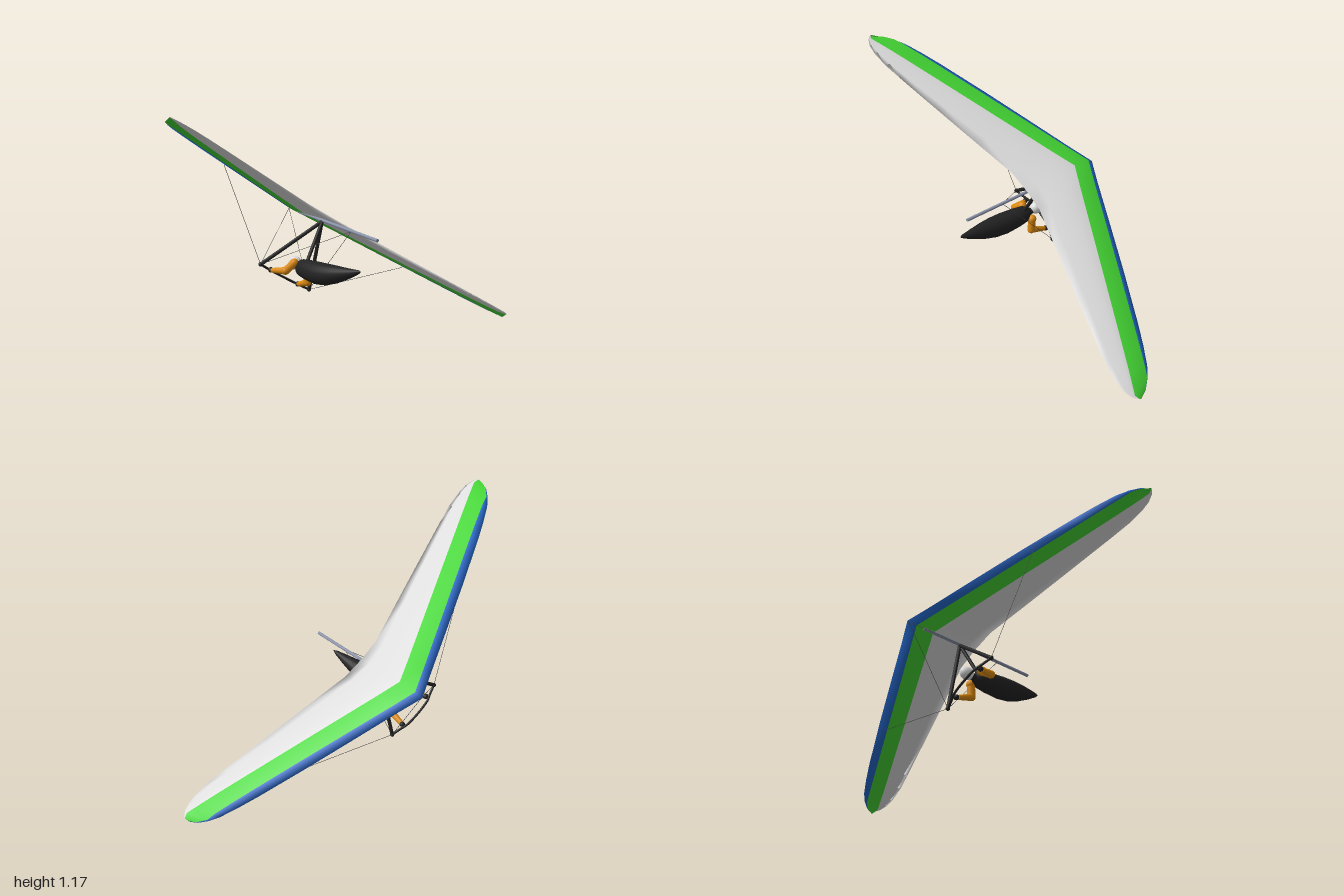
import * as THREE from 'three';

const material = (name, color, side = THREE.FrontSide) => {
  const m = new THREE.MeshStandardMaterial({ color, side });
  m.name = name;
  return m;
};
const V = (x, y, z) => new THREE.Vector3(x, y, z);

// Skin over a grid of points: rows of equal length, each row a closed ring
function skin(rows) {
  const k = rows[0].length;
  const geo = new THREE.BufferGeometry().setFromPoints(rows.flat());
  const strip = (j) => {
    const out = [];
    for (let i = 0; i < rows.length - 1; i++) {
      const a = i * k + j, b = i * k + (j + 1) % k, c = a + k, d = b + k;
      out.push(a, c, b, b, c, d);
    }
    return out;
  };
  return { geo, k, strip };
}

// Sail: closed aerofoil sections along the span, coloured by chord band
function sailGeometry() {
  // span position, leading edge x, trailing edge x
  const half = [
    [0, -0.4, 0.04], [0.12, -0.345, 0.046], [0.35, -0.245, 0.11], [0.6, -0.135, 0.178],
    [0.85, -0.02, 0.245], [0.95, 0.03, 0.27], [1.04, 0.08, 0.281], [1.09, 0.12, 0.278],
    [1.13, 0.165, 0.262], [1.155, 0.215, 0.235],
  ];
  const table = [...half.slice(1).reverse().map(([s, a, b]) => [-s, a, b]), ...half];

  const rows = table.map(([s, le, te]) => {
    const chord = te - le, span = Math.abs(s);
    const stations = (blueEnd, greenEnd) => {
      const b = Math.min(Math.max(blueEnd, le + 0.03 * chord), te - 0.2 * chord);
      const g = Math.min(Math.max(greenEnd, b + 0.03 * chord), te - 0.1 * chord);
      return [le, b, g, ...[0.25, 0.5, 0.78].map((f) => g + (te - g) * f), te];
    };
    const point = (x, thick) => {
      const u = Math.min(1, Math.max(0, (x - le) / chord));
      const base = 0.005 + 0.013 * u + 0.008 * span * u;
      return V(x, base + thick * chord * 2.6 * Math.sqrt(u) * (1 - u), s);
    };
    const top = stations(-0.365 + 0.45 * span, -0.265 + 0.45 * span).map((x) => point(x, 0.09));
    const under = stations(-0.345 + 0.44 * span, -0.24 + 0.425 * span).map((x) => point(x, -0.02));
    return [...top, ...under.slice(1, -1).reverse()];
  });

  const { geo, k, strip } = skin(rows);
  const index = [];
  // 0 blue, 1 green, 2 white, mirrored for the underside
  [[0, k - 1], [1, k - 2], [...Array(k - 4).keys()].map((j) => j + 2)].forEach((columns, m) => {
    const part = columns.flatMap(strip);
    geo.addGroup(index.length, part.length, m);
    index.push(...part);
  });
  geo.setIndex(index);
  geo.computeVertexNormals();
  return geo;
}

// Harness: round sections along x, tapering to the feet
function harnessGeometry() {
  // x, height, radius
  const profile = [
    [-0.095, -0.252, 0.002], [-0.088, -0.252, 0.025], [-0.06, -0.253, 0.043], [0, -0.255, 0.051],
    [0.08, -0.256, 0.056], [0.15, -0.25, 0.053], [0.22, -0.237, 0.043], [0.3, -0.217, 0.026],
    [0.36, -0.198, 0.011], [0.38, -0.192, 0.002],
  ];
  const sides = 20;
  const rows = profile.map(([x, y, r]) => Array.from({ length: sides }, (_, j) => {
    const a = (j / sides) * Math.PI * 2;
    return V(x, y + r * Math.cos(a), r * Math.sin(a));
  }));
  const { geo, strip } = skin(rows);
  // ring order runs from +y to +z, so the strips are reversed to face outward
  geo.setIndex([...Array(sides).keys()].flatMap(strip).reverse());
  geo.computeVertexNormals();
  // make sure the skin faces outward
  const p = geo.attributes.position, n = geo.attributes.normal, mid = 4 * sides;
  if ((p.getY(mid) + 0.256) * n.getY(mid) < 0) {
    geo.setIndex(Array.from(geo.index.array).reverse());
    geo.computeVertexNormals();
  }
  return geo;
}

export function createModel() {
  const blue = material('sailBlue', 0x2468cc);
  const green = material('sailGreen', 0x44d634);
  const white = material('sailWhite', 0xdcdcdc);
  const black = material('harnessBlack', 0x222222);
  const orange = material('sleeveOrange', 0xdc8a10);
  const metal = material('keelMetal', 0x8c94aa);
  const wireGrey = material('wireGrey', 0x484848);

  const model = new THREE.Group();
  model.name = 'hangGlider';
  const banked = new THREE.Group();
  banked.name = 'bankedGlider';
  banked.position.y = 0.5775;
  banked.rotation.x = -Math.PI / 6;
  model.add(banked);

  const add = (parent, name, geo, mat) => {
    const mesh = new THREE.Mesh(geo, mat);
    mesh.name = name;
    parent.add(mesh);
    return mesh;
  };
  // Straight round bar between two points
  const bar = (parent, name, a, b, r, mat, sides = 10) => {
    const mesh = add(parent, name, new THREE.CylinderGeometry(r, r, a.distanceTo(b), sides), mat);
    mesh.position.copy(a).lerp(b, 0.5);
    mesh.quaternion.setFromUnitVectors(V(0, 1, 0), b.clone().sub(a).normalize());
    return mesh;
  };
  const ball = (parent, name, p, r, mat) => {
    const mesh = add(parent, name, new THREE.SphereGeometry(r, 18, 12), mat);
    mesh.position.copy(p);
    return mesh;
  };

  // Wing and keel, nose slightly up
  const wing = new THREE.Group();
  wing.name = 'wing';
  wing.rotation.z = -0.069;
  banked.add(wing);
  add(wing, 'sail', sailGeometry(), [blue, green, white]);
  bar(wing, 'keel', V(-0.3, 0.003, 0), V(0.4, 0, 0), 0.008, metal, 12);

  // Control frame
  const frame = new THREE.Group();
  frame.name = 'controlFrame';
  banked.add(frame);
  const apex = V(-0.07, 0, 0);
  const corner = (side) => V(-0.162, -0.325, side * 0.168);
  const barPath = [
    corner(-1), V(-0.178, -0.325, -0.12), V(-0.194, -0.325, -0.075),
    V(-0.194, -0.325, 0.075), V(-0.178, -0.325, 0.12), corner(1),
  ];
  add(frame, 'baseBar',
    new THREE.TubeGeometry(new THREE.CatmullRomCurve3(barPath), 40, 0.006, 8), black);

  const pilot = new THREE.Group();
  pilot.name = 'pilot';
  banked.add(pilot);

  for (const side of [-1, 1]) {
    const c = corner(side);
    bar(frame, 'upright', apex, c, 0.0095, black);
    ball(frame, 'cornerFitting', c, 0.011, black);

    // Rigging wires
    for (const end of [V(-0.392, 0.03, 0), V(-0.1, 0.006, side * 0.63), V(0.185, -0.014, 0)]) {
      bar(frame, 'wire', c, end, 0.0012, wireGrey, 5);
    }

    // Arms reaching to the base bar
    const shoulder = V(-0.078, -0.25, side * 0.045);
    const elbow = V(-0.074, -0.305, side * 0.076);
    const hand = V(-0.16, -0.325, side * 0.092);
    bar(pilot, 'upperArm', shoulder, elbow, 0.02, orange, 14);
    ball(pilot, 'shoulder', shoulder, 0.023, orange);
    ball(pilot, 'elbow', elbow, 0.02, orange);
    const fore = add(pilot, 'forearm',
      new THREE.CylinderGeometry(0.012, 0.019, elbow.distanceTo(hand), 14), orange);
    fore.position.copy(elbow).lerp(hand, 0.5);
    fore.quaternion.setFromUnitVectors(V(0, 1, 0), hand.clone().sub(elbow).normalize());
    ball(pilot, 'hand', V(-0.168, -0.325, side * 0.094), 0.014, black);
  }

  // Pilot body, head and hang strap
  add(pilot, 'harness', harnessGeometry(), black);
  ball(pilot, 'helmet', V(-0.138, -0.24, 0), 0.034, white).scale.set(1.1, 1, 0.92);
  bar(pilot, 'neck', V(-0.12, -0.25, 0), V(-0.08, -0.254, 0), 0.018, black);
  bar(pilot, 'hangStrap', V(-0.068, 0, 0), V(-0.045, -0.215, 0), 0.009, black);

  return model;
}
